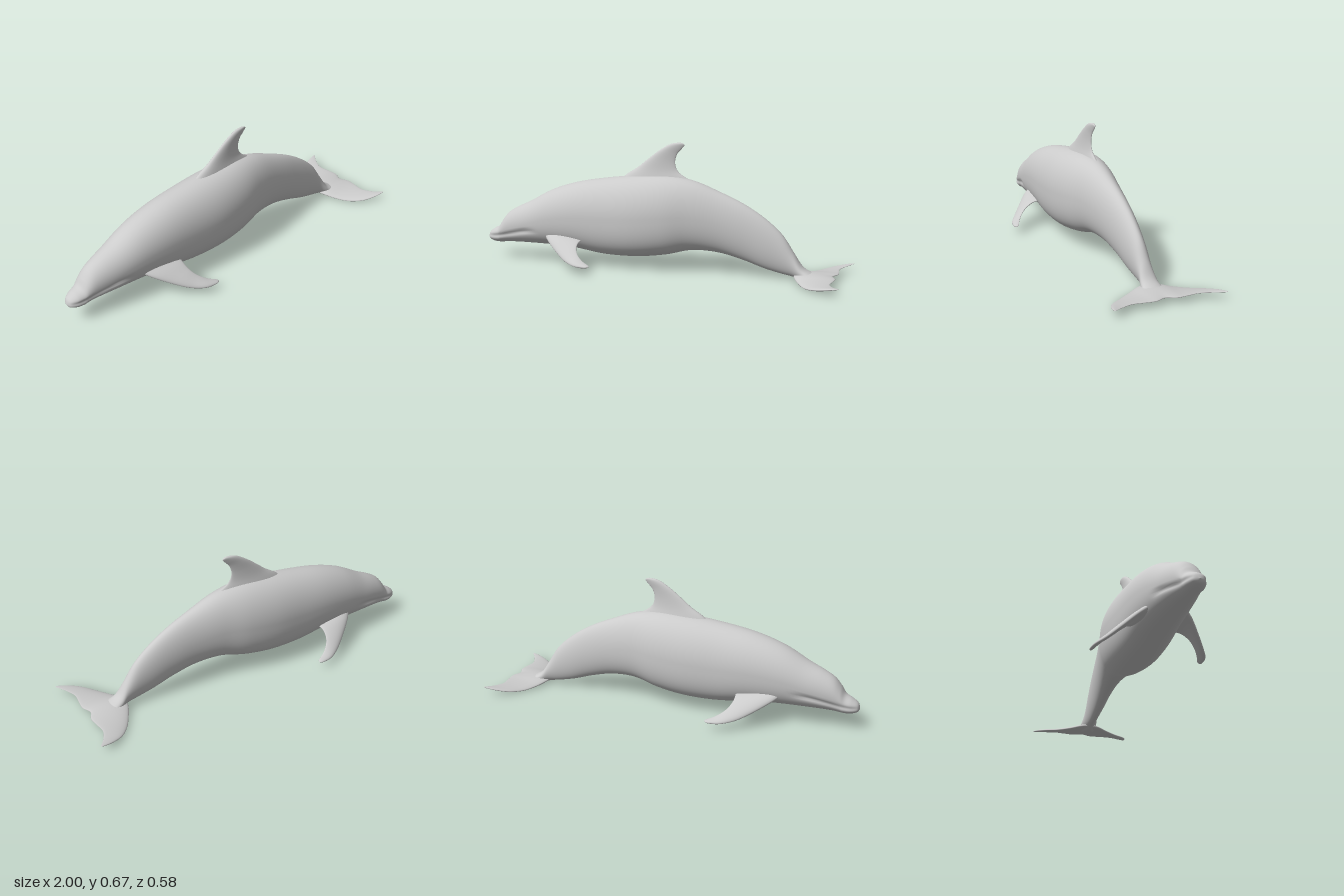
import * as THREE from 'three';

const material = new THREE.MeshStandardMaterial({ color: 0xcccccc, roughness: 0.6 });

// Smooth (Catmull-Rom) interpolation of rows of numbers, u from 0 to 1
function sampleRows(rows, u) {
  const f = u * (rows.length - 1);
  const i = Math.min(Math.floor(f), rows.length - 2);
  const t = f - i;
  const row = (k) => rows[Math.max(0, Math.min(rows.length - 1, k))];
  return rows[0].map((_, c) => {
    const [a, b, d, e] = [row(i - 1)[c], row(i)[c], row(i + 1)[c], row(i + 2)[c]];
    const m0 = (d - a) / 2, m1 = (e - b) / 2;
    return b + m0 * t + (3 * (d - b) - 2 * m0 - m1) * t * t + (2 * (b - d) + m0 + m1) * t * t * t;
  });
}

// Closed skin over rings of points; point(u, angle) gives a Vector3
function loft(name, rings, sides, point) {
  const pos = [], index = [];
  for (let i = 0; i <= rings; i++) {
    for (let j = 0; j < sides; j++) pos.push(...point(i / rings, (j / sides) * Math.PI * 2).toArray());
  }
  for (let i = 0; i < rings; i++) {
    for (let j = 0; j < sides; j++) {
      const k = (j + 1) % sides;
      const a = i * sides + j, b = i * sides + k, c = a + sides, d = b + sides;
      index.push(a, b, c, b, d, c);
    }
  }
  // Close both ends
  for (let j = 1; j < sides - 1; j++) {
    const e = rings * sides;
    index.push(0, j + 1, j, e, e + j, e + j + 1);
  }
  // Turn the faces outward if the enclosed volume is negative
  const at = (i) => new THREE.Vector3().fromArray(pos, i * 3);
  let volume = 0;
  for (let i = 0; i < index.length; i += 3) volume += at(index[i]).dot(at(index[i + 1]).cross(at(index[i + 2])));
  if (volume < 0) index.reverse();

  const geometry = new THREE.BufferGeometry();
  geometry.setAttribute('position', new THREE.Float32BufferAttribute(pos, 3));
  geometry.setIndex(index);
  geometry.computeVertexNormals();
  const mesh = new THREE.Mesh(geometry, material);
  mesh.name = name;
  return mesh;
}

// Fin with a teardrop section; rows: lead x,y,z, trail x,y,z, half thickness
function fin(name, rows, thickDir, rings = 40) {
  return loft(name, rings, 28, (u, a) => {
    const r = sampleRows(rows, u);
    const c = (1 - Math.cos(a)) / 2;
    const lead = new THREE.Vector3(r[0], r[1], r[2]);
    const trail = new THREE.Vector3(r[3], r[4], r[5]);
    return lead.lerp(trail, c).addScaledVector(thickDir, r[6] * Math.sin(a) * (1.2 - 0.6 * c));
  });
}

// Body stations: x, top, bottom, half width, fullness of the belly
const bodyRows = [
  [-1.0, 0.122, 0.12, 0.002, 2],
  [-0.99, 0.148, 0.103, 0.03, 2],
  [-0.96, 0.17, 0.093, 0.048, 2.1],
  [-0.925, 0.19, 0.091, 0.056, 2.2],
  [-0.9, 0.228, 0.093, 0.061, 2.2],
  [-0.865, 0.268, 0.096, 0.069, 2.2],
  [-0.81, 0.3, 0.099, 0.081, 2.3],
  [-0.73, 0.337, 0.1, 0.097, 2.3],
  [-0.6, 0.405, 0.1, 0.118, 2.4],
  [-0.45, 0.453, 0.093, 0.134, 2.5],
  [-0.28, 0.483, 0.072, 0.144, 2.6],
  [-0.1, 0.503, 0.072, 0.149, 2.6],
  [0.06, 0.508, 0.092, 0.135, 2.5],
  [0.2, 0.488, 0.124, 0.104, 2.3],
  [0.34, 0.437, 0.12, 0.077, 2.1],
  [0.47, 0.38, 0.09, 0.06, 2],
  [0.58, 0.313, 0.055, 0.049, 2],
  [0.67, 0.235, 0.034, 0.04, 2],
  [0.73, 0.148, 0.023, 0.037, 2],
  [0.775, 0.08, 0.009, 0.045, 2],
  [0.82, 0.05, 0.012, 0.05, 2],
  [0.87, 0.035, 0.024, 0.02, 2],
];

function body() {
  return loft('body', 150, 72, (u, a) => {
    const [x, top, bottom, width, full] = sampleRows(bodyRows, u);
    const mid = (top + bottom) / 2, half = (top - bottom) / 2;
    const s = Math.sin(a), c = Math.cos(a);
    const e = s < 0 ? full : 2;
    const y = mid + half * Math.sign(s) * Math.abs(s) ** (2 / e);
    let z = width * Math.sign(c) * Math.abs(c) ** (2 / e);
    // Mouth crease running back along the beak to the cheek
    const mouthY = 0.13 + 0.05 * THREE.MathUtils.smoothstep(x, -0.98, -0.68);
    const fade = 1 - THREE.MathUtils.smoothstep(x, -0.76, -0.64);
    z *= 1 - 0.12 * fade * Math.exp(-(((y - mouthY) / 0.011) ** 2));
    return new THREE.Vector3(x, y, z);
  });
}

// Dorsal fin, swept back and flaring into the back
const dorsalRows = [
  [-0.24, 0.44, 0, 0.26, 0.42, 0, 0.05],
  [-0.175, 0.502, 0, 0.175, 0.49, 0, 0.032],
  [-0.105, 0.547, 0, 0.118, 0.53, 0, 0.022],
  [-0.045, 0.595, 0, 0.1, 0.575, 0, 0.016],
  [0.015, 0.64, 0, 0.11, 0.62, 0, 0.013],
  [0.075, 0.674, 0, 0.135, 0.65, 0, 0.011],
  [0.125, 0.682, 0, 0.15, 0.667, 0, 0.007],
  [0.146, 0.677, 0, 0.149, 0.674, 0, 0.001],
];

// Pectoral fin, left of the belly and reaching out, down and back
const pectoralRows = [
  [-0.63, 0.175, 0.07, -0.37, 0.155, 0.07, 0.026],
  [-0.575, 0.14, 0.13, -0.39, 0.15, 0.13, 0.02],
  [-0.5, 0.098, 0.19, -0.387, 0.127, 0.178, 0.016],
  [-0.43, 0.066, 0.24, -0.365, 0.1, 0.215, 0.013],
  [-0.36, 0.052, 0.279, -0.325, 0.075, 0.246, 0.01],
  [-0.3, 0.049, 0.288, -0.28, 0.058, 0.268, 0.007],
  [-0.278, 0.052, 0.283, -0.276, 0.053, 0.279, 0.001],
];

// Half of the tail fluke, from the notch out to the tip
const flukeRows = [
  [0.735, 0.03, 0, 0.93, 0.038, 0, 0.017],
  [0.745, 0.027, 0.05, 0.95, 0.038, 0.05, 0.015],
  [0.775, 0.017, 0.11, 0.947, 0.038, 0.1, 0.012],
  [0.815, 0.013, 0.175, 0.94, 0.038, 0.165, 0.01],
  [0.87, 0.022, 0.235, 0.958, 0.04, 0.215, 0.008],
  [0.935, 0.036, 0.269, 0.98, 0.044, 0.25, 0.006],
  [0.985, 0.046, 0.281, 0.998, 0.048, 0.273, 0.003],
  [0.998, 0.048, 0.28, 1.0, 0.048, 0.278, 0.001],
];

const flipZ = (rows) => rows.map(([a, b, c, d, e, f, g]) => [a, b, -c, d, e, -f, g]);

export function createModel() {
  const model = new THREE.Group();
  model.name = 'dolphin';
  model.add(body());
  model.add(fin('dorsalFin', dorsalRows, new THREE.Vector3(0, 0, 1)));

  // Pectoral fins on both flanks
  for (const side of [1, -1]) {
    const rows = side > 0 ? pectoralRows : flipZ(pectoralRows);
    const dir = new THREE.Vector3(0.25, 0.8, 0.5 * side).normalize();
    model.add(fin(side > 0 ? 'nearPectoralFin' : 'farPectoralFin', rows, dir));
  }

  // Both fluke lobes as one continuous skin
  const flukes = [...flipZ(flukeRows).reverse(), ...flukeRows.slice(1)];
  model.add(fin('tailFlukes', flukes, new THREE.Vector3(0, 1, 0), 84));
  return model;
}
